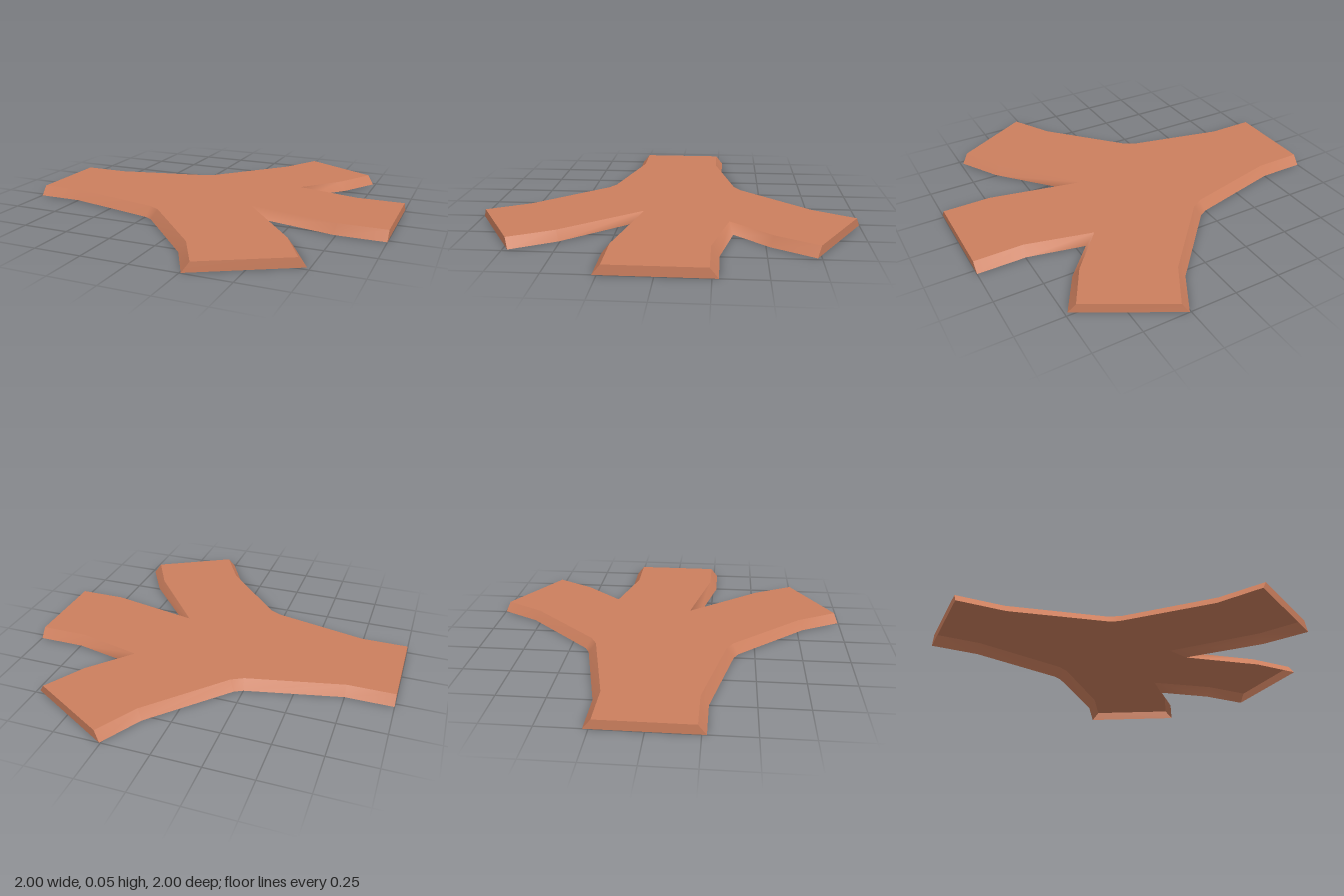
import * as THREE from 'three';

const HEIGHT = 0.05;

// Each point: [base x, base z, top x, top z]
const outerEdge = [
  [-1, 0.275, -1, 0.235],
  [-0.75, 0.275, -0.75, 0.235],
  [-0.25, 0.39, -0.24, 0.35],
  [-0.205, 0.415, -0.178, 0.385],
  [0.14, 0.785, 0.168, 0.76],
  [0.257, 0.998, 0.29, 0.978],
];
const backNotch = [
  [0.735, -0.73, 0.7, -0.75],
  [0.61, -0.52, 0.58, -0.54],
  [0.45, -0.345, 0.39, -0.325],
  [0.745, -0.28, 0.74, -0.24],
  [1, -0.28, 1, -0.24],
];
const frontNotch = [
  [1, 0.272, 1, 0.232],
  [0.74, 0.272, 0.745, 0.232],
  [0.32, 0.18, 0.25, 0.127],
  [0.61, 0.508, 0.58, 0.525],
  [0.735, 0.725, 0.7, 0.745],
];

// Sloped wall strip with smooth normals along its run
function wall(points, material, name) {
  const positions = [];
  const index = [];
  points.forEach(([bx, bz, tx, tz], i) => {
    positions.push(bx, 0, bz, tx, HEIGHT, tz);
    if (i > 0) {
      const a = 2 * i - 2;
      index.push(a, a + 1, a + 2, a + 2, a + 1, a + 3);
    }
  });
  const geometry = new THREE.BufferGeometry();
  geometry.setAttribute('position', new THREE.Float32BufferAttribute(positions, 3));
  geometry.setIndex(index);
  geometry.computeVertexNormals();
  const mesh = new THREE.Mesh(geometry, material);
  mesh.name = name;
  return mesh;
}

export function createModel() {
  const group = new THREE.Group();
  group.name = 'branchingPath';
  const clay = new THREE.MeshStandardMaterial({ color: 0xcc7f5e, side: THREE.DoubleSide });
  clay.name = 'terracotta';

  // Edge runs in order around the outline, seen from above
  const backEdge = outerEdge.map(([bx, bz, tx, tz]) => [bx, -bz - 0.002, tx, -tz - 0.002]);
  const frontEdge = outerEdge.map(([bx, bz, tx, tz]) => [bx, bz - 0.002, tx, tz - 0.002]).reverse();
  const runs = [
    ['backEdge', backEdge, 'backArmEnd'],
    ['backNotch', backNotch, 'leftBranchEnd'],
    ['frontNotch', frontNotch, 'frontArmEnd'],
    ['frontEdge', frontEdge, 'trunkEnd'],
  ];

  // Sloped sides, and a flat cap from each run to the next; the underside stays open
  runs.forEach(([name, points, endName], i) => {
    const next = runs[(i + 1) % runs.length][1];
    group.add(wall(points, clay, name));
    group.add(wall([points[points.length - 1], next[0]], clay, endName));
  });

  // Flat top surface
  const outline = runs.flatMap((run) => run[1]).map((p) => new THREE.Vector2(p[2], -p[3]));
  const geometry = new THREE.ShapeGeometry(new THREE.Shape(outline));
  geometry.rotateX(-Math.PI / 2).translate(0, HEIGHT, 0);
  const top = new THREE.Mesh(geometry, clay);
  top.name = 'topSurface';
  group.add(top);

  return group;
}
